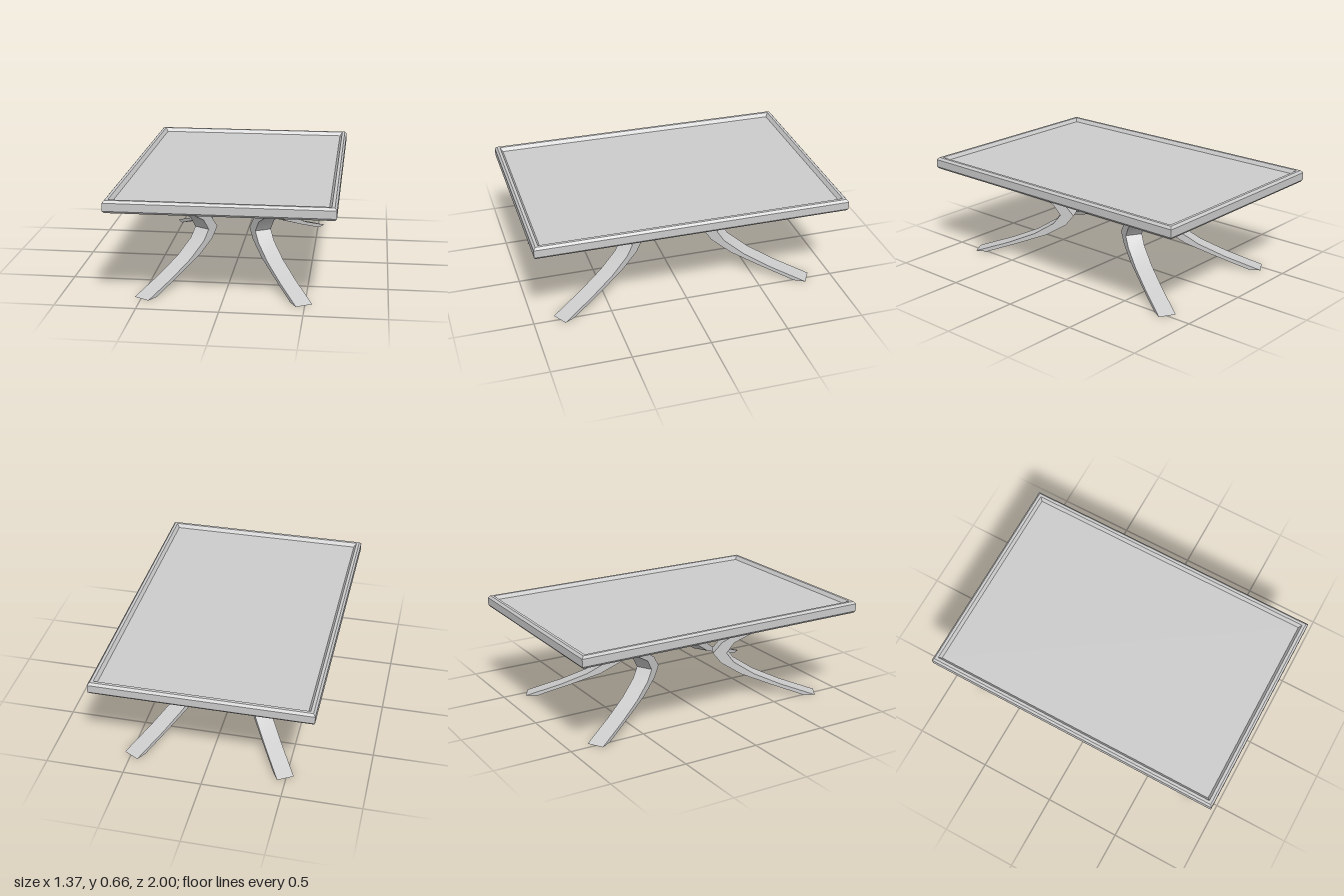
import * as THREE from 'three';
import { toCreasedNormals } from 'three/addons/utils/BufferGeometryUtils.js';

const grey = new THREE.MeshStandardMaterial({ color: 0xcccccc });

// Rectangular slab lofted through rings of [half width, half depth, height]
function rectLoft(rings) {
  const pos = [];
  const corners = ([x, z, y]) => [[x, y, z], [x, y, -z], [-x, y, -z], [-x, y, z]];
  const quad = (a, b, c, d) => pos.push(...a, ...b, ...c, ...a, ...c, ...d);
  for (let i = 0; i < rings.length - 1; i++) {
    const lo = corners(rings[i]), hi = corners(rings[i + 1]);
    for (let k = 0; k < 4; k++) {
      const n = (k + 1) % 4;
      quad(lo[k], lo[n], hi[n], hi[k]);
    }
  }
  quad(...corners(rings[0]).reverse());
  quad(...corners(rings[rings.length - 1]));
  const geo = new THREE.BufferGeometry();
  geo.setAttribute('position', new THREE.Float32BufferAttribute(pos, 3));
  geo.computeVertexNormals();
  return geo;
}

// Bowed leg: side profile (outward distance, height) extruded to its width
function legGeometry() {
  const inner = [[0.612, 0], [0.393, 0.077], [0.187, 0.155], [0.053, 0.235], [0, 0.302],
    [0.059, 0.377], [0.187, 0.457], [0.38, 0.53], [0.565, 0.588]];
  const outer = [[0.635, 0.588], [0.47, 0.528], [0.285, 0.457], [0.14, 0.375], [0.09, 0.302],
    [0.14, 0.238], [0.275, 0.155], [0.455, 0.08], [0.69, 0]];
  const shape = new THREE.Shape([...inner, ...outer].map(([s, y]) => new THREE.Vector2(s, y)));
  const width = 0.109;
  const geo = new THREE.ExtrudeGeometry(shape, { depth: width, bevelEnabled: false });
  geo.translate(0, 0, -width / 2);
  return toCreasedNormals(geo, THREE.MathUtils.degToRad(40));
}

export function createModel() {
  const table = new THREE.Group();
  table.name = 'table';

  // Top with chamfered edges, a raised rim and a sunken panel
  const top = new THREE.Mesh(rectLoft([
    [0.675, 0.99, 0.587], [0.685, 1, 0.6], [0.685, 1, 0.649], [0.672, 0.987, 0.664],
    [0.654, 0.969, 0.664], [0.638, 0.953, 0.64],
  ]), grey);
  top.name = 'tableTop';
  table.add(top);

  // Four legs splayed towards the corners
  const geo = legGeometry();
  for (const [sx, sz, name] of [[1, 1, 'frontLeftLeg'], [-1, 1, 'frontRightLeg'],
    [1, -1, 'backLeftLeg'], [-1, -1, 'backRightLeg']]) {
    const leg = new THREE.Mesh(geo, grey);
    leg.name = name;
    leg.position.set(sx * 0.152, 0, sz * 0.237);
    leg.rotation.y = Math.atan2(-sz * 0.866, sx * 0.5);
    table.add(leg);
  }
  return table;
}
